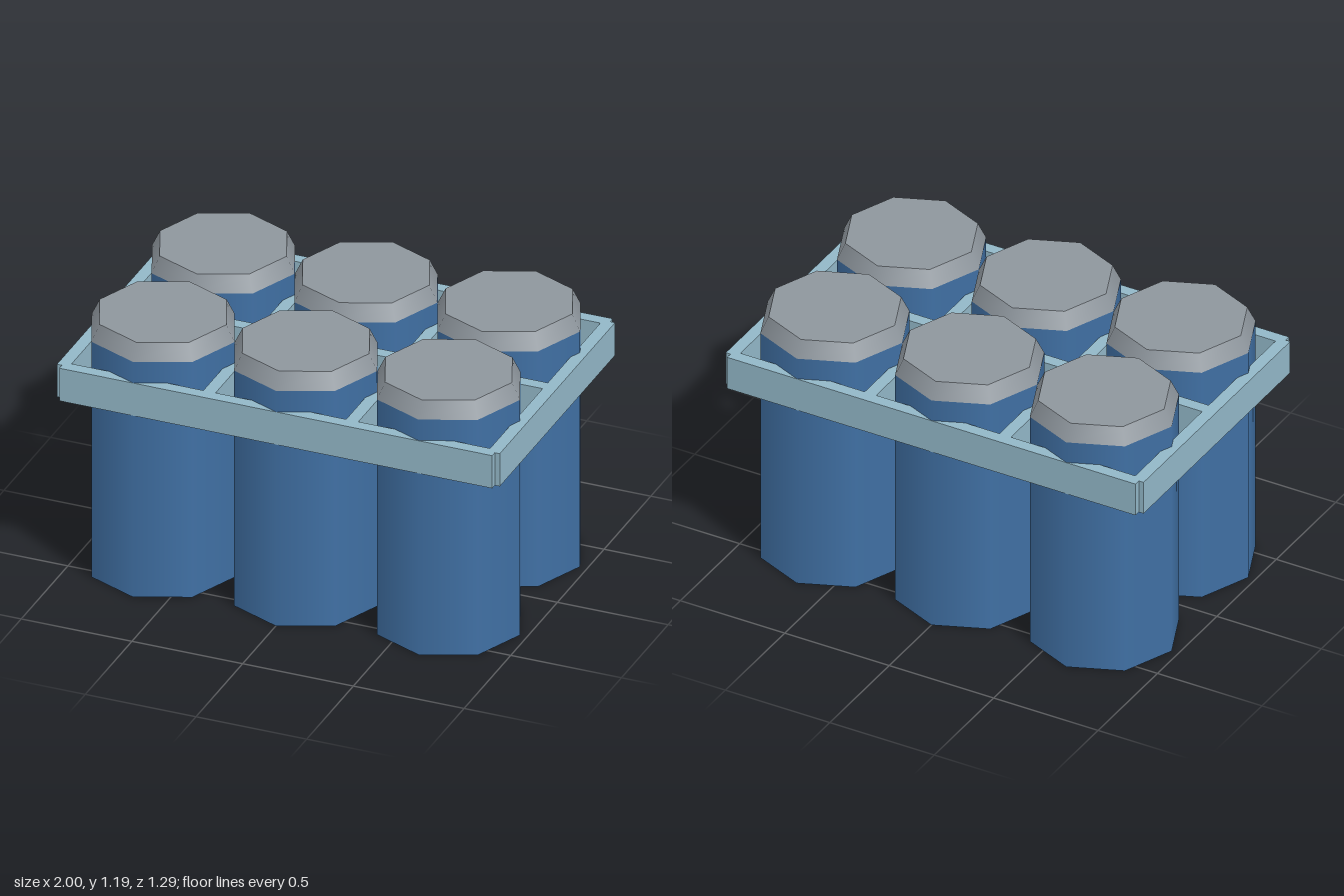
import * as THREE from 'three';

export function createModel() {
  const model = new THREE.Group();
  const material = (name, color) => {
    const m = new THREE.MeshStandardMaterial({ color });
    m.name = name;
    return m;
  };
  const blue = material('can blue', 0x4070a4);
  const grey = material('lid grey', 0x8e969d);
  const paleBlue = material('carrier pale blue', 0x92b7c7);

  const add = (parent, name, geometry, mat, x, y, z) => {
    const mesh = new THREE.Mesh(geometry, mat);
    mesh.name = name;
    mesh.position.set(x, y, z);
    parent.add(mesh);
  };

  // Six eight-sided cans, two rows of three, each with a tapered lid
  const radius = 0.322, pitch = 0.645, bodyHeight = 1.115, lidHeight = 0.075;
  const bodyGeometry = new THREE.CylinderGeometry(radius, radius, bodyHeight, 8);
  const lidGeometry = new THREE.CylinderGeometry(0.286, radius, lidHeight, 8);
  for (const row of [-0.5, 0.5]) {
    for (const column of [-1, 0, 1]) {
      const can = new THREE.Group();
      can.name = 'can';
      can.position.set(column * pitch, 0, row * pitch);
      add(can, 'canBody', bodyGeometry, blue, 0, bodyHeight / 2, 0);
      add(can, 'canLid', lidGeometry, grey, 0, bodyHeight + lidHeight / 2, 0);
      model.add(can);
    }
  }

  // Carrier frame of crossing bars around and between the cans
  const carrier = new THREE.Group();
  carrier.name = 'carrier';
  model.add(carrier);
  const barHeight = 0.155, barY = 0.938, barWidth = 0.055;
  const longBar = new THREE.BoxGeometry(1.955, barHeight, barWidth);
  const crossBar = new THREE.BoxGeometry(barWidth, barHeight, 1.235);
  for (const z of [-0.618, 0, 0.618]) add(carrier, 'longBar', longBar, paleBlue, 0, barY, z);
  for (const x of [-0.9725, -0.3225, 0.3225, 0.9725]) add(carrier, 'crossBar', crossBar, paleBlue, x, barY, 0);

  return model;
}
